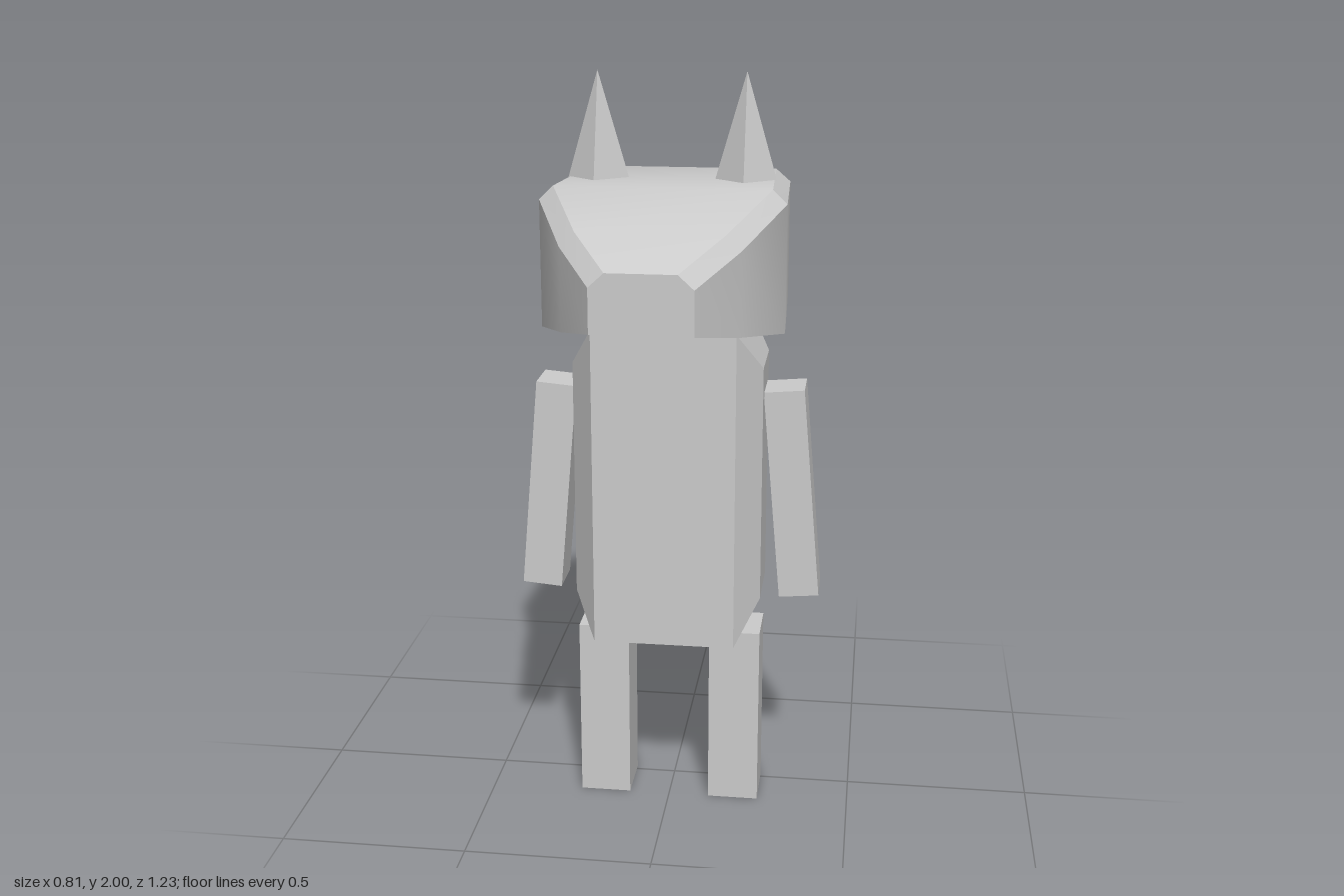
import * as THREE from 'three';
import { toCreasedNormals } from 'three/addons/utils/BufferGeometryUtils.js';

const grey = new THREE.MeshStandardMaterial({ color: 0xcccccc });
const flatGrey = new THREE.MeshStandardMaterial({ color: 0xcccccc, flatShading: true });

// Skins a list of rings (each ring counter-clockwise seen from the end of the loft) and caps both ends
function loft(rings) {
  const n = rings[0].length, pos = [];
  const tri = (...pts) => pts.forEach((p) => pos.push(...p));
  for (let i = 0; i < rings.length - 1; i++) {
    for (let j = 0; j < n; j++) {
      const k = (j + 1) % n, A = rings[i], B = rings[i + 1];
      tri(A[j], A[k], B[k]);
      tri(A[j], B[k], B[j]);
    }
  }
  const first = rings[0], last = rings[rings.length - 1];
  for (let j = 1; j < n - 1; j++) {
    tri(first[0], first[j + 1], first[j]);
    tri(last[0], last[j], last[j + 1]);
  }
  const g = new THREE.BufferGeometry();
  g.setAttribute('position', new THREE.Float32BufferAttribute(pos, 3));
  g.computeVertexNormals();
  return g;
}

export function createModel() {
  const model = new THREE.Group();
  model.name = 'foxFigure';

  const add = (name, geometry, material, x = 0, y = 0, z = 0) => {
    const mesh = new THREE.Mesh(geometry, material);
    mesh.name = name;
    mesh.position.set(x, y, z);
    model.add(mesh);
    return mesh;
  };

  // Head: sections from the back to the snout
  // z, bottom y, shoulder y, top y, outer half width, top half width
  const headSections = [
    [-0.262, 1.415, 1.665, 1.692, 0.235, 0.195],
    [-0.178, 1.385, 1.692, 1.725, 0.29, 0.252],
    [0.245, 1.377, 1.7, 1.735, 0.308, 0.272],
    [0.465, 1.418, 1.625, 1.662, 0.217, 0.18],
    [0.617, 1.452, 1.562, 1.597, 0.123, 0.085],
  ];
  const head = loft(headSections.map(([z, b, s, t, w, v]) => [
    [-w, b, z], [w, b, z], [w, s, z], [v, t, z], [-v, t, z], [-w, s, z],
  ]));
  add('head', toCreasedNormals(head, THREE.MathUtils.degToRad(30)), grey);

  // Body: a block whose two sides bulge out with sloped borders
  const bodySections = [
    [-0.25, 0.62, 1.26, -0.04, 0.15],
    [-0.187, 0.51, 1.367, -0.128, 0.24],
    [0.187, 0.51, 1.367, -0.128, 0.24],
    [0.25, 0.62, 1.26, -0.04, 0.15],
  ];
  add('body', loft(bodySections.map(([x, y0, y1, z0, z1]) => [
    [x, y0, z0], [x, y1, z0], [x, y1, z1], [x, y0, z1],
  ])), flatGrey);

  // Tail: sections from the tip up into the body
  // half width, bottom y, bottom z, top y, top z
  const tailSections = [
    [0.04, 0.215, -0.572, 0.262, -0.615],
    [0.085, 0.29, -0.435, 0.395, -0.532],
    [0.114, 0.375, -0.3, 0.52, -0.437],
    [0.062, 0.63, -0.085, 0.702, -0.165],
    [0.045, 0.68, -0.04, 0.745, -0.085],
  ];
  add('tail', loft(tailSections.map(([w, yb, zb, yt, zt]) => [
    [-w, yb, zb], [w, yb, zb], [w, yt, zt], [-w, yt, zt],
  ])), flatGrey);

  // Paired parts
  for (const [side, s] of [['left', 1], ['right', -1]]) {
    add(side + 'Ear', new THREE.ConeGeometry(0.08, 0.275, 4), flatGrey, s * 0.19, 1.8625, 0.054);
    const arm = add(side + 'Arm', new THREE.BoxGeometry(0.107, 0.575, 0.122), flatGrey, s * 0.327, 0.903, 0.053);
    arm.rotation.z = s * THREE.MathUtils.degToRad(5);
    add(side + 'Leg', new THREE.BoxGeometry(0.138, 0.505, 0.145), flatGrey, s * 0.18, 0.2525, 0.056);
  }

  return model;
}
